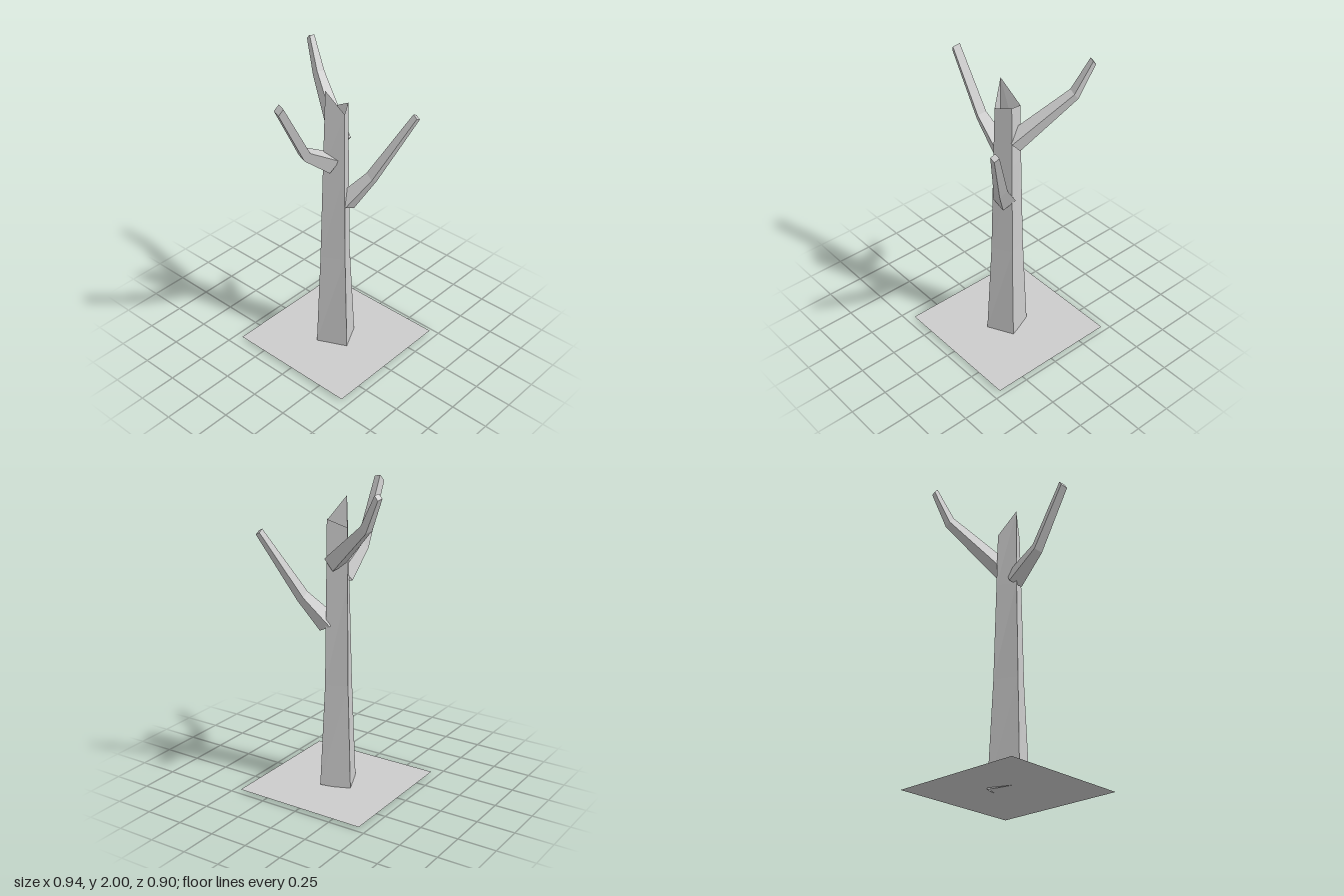
import * as THREE from 'three';

const V = (x, y, z) => new THREE.Vector3(x, y, z);

// Skins a list of four-cornered rings, optionally closing the last one
function loft(rings, capEnd) {
  const pos = [];
  const tri = (...pts) => pts.forEach((p) => pos.push(p.x, p.y, p.z));
  for (let r = 0; r < rings.length - 1; r++) {
    const a = rings[r], b = rings[r + 1];
    for (let i = 0; i < 4; i++) {
      const j = (i + 1) % 4;
      tri(a[i], a[j], b[j]);
      tri(a[i], b[j], b[i]);
    }
  }
  if (capEnd) {
    const e = rings[rings.length - 1];
    tri(e[0], e[1], e[2]);
    tri(e[0], e[2], e[3]);
  }
  const geo = new THREE.BufferGeometry();
  geo.setAttribute('position', new THREE.Float32BufferAttribute(pos, 3));
  geo.computeVertexNormals();
  return geo;
}

// Square-section limb: all rings lie across the direction of the first segment
function limb(stations, roll) {
  const centers = stations.map(([x, y, z]) => V(x, y, z));
  const n = centers[1].clone().sub(centers[0]).normalize();
  const up = V(0, 1, 0).addScaledVector(n, -n.y).normalize();
  const side = n.clone().cross(up);
  const rings = centers.map((c, k) => [0, 1, 2, 3].map((i) => {
    const t = roll + i * Math.PI / 2, r = stations[k][3];
    return c.clone().addScaledVector(up, r * Math.cos(t)).addScaledVector(side, r * Math.sin(t));
  }));
  return loft(rings, true);
}

export function createModel() {
  const group = new THREE.Group();
  const mat = new THREE.MeshStandardMaterial({ color: 0xcccccc, flatShading: true, side: THREE.DoubleSide });
  const add = (name, geo) => {
    const mesh = new THREE.Mesh(geo, mat);
    mesh.name = name;
    group.add(mesh);
    return mesh;
  };

  // Flat ground patch
  const ground = add('ground', new THREE.PlaneGeometry(0.895, 0.895).rotateX(-Math.PI / 2));
  ground.position.set(0.023, 0.012, 0);

  // Hollow tapering trunk with a jagged broken top
  const trunk = [
    [V(-0.025, 0.015, 0.137), V(0.145, 0.02, 0.053), V(0.07, 0, -0.13), V(-0.115, 0.015, -0.05)],
    [V(-0.012, 0.7, 0.105), V(0.11, 0.7, 0.036), V(0.055, 0.7, -0.1), V(-0.09, 0.7, -0.035)],
    [V(-0.006, 1.35, 0.09), V(0.1, 1.35, 0.031), V(0.045, 1.35, -0.088), V(-0.072, 1.35, -0.026)],
    [V(0, 1.74, 0.082), V(0.092, 1.762, 0.03), V(0.04, 1.715, -0.082), V(-0.06, 1.885, -0.015)],
  ];
  add('trunk', loft(trunk, false));

  // Bent branches: centre and radius at base, elbow and tip
  add('rightBranch', limb([[-0.03, 1.39, -0.005, 0.068], [-0.24, 1.537, -0.015, 0.042], [-0.455, 1.923, -0.002, 0.034]], 0.5));
  add('backBranch', limb([[0.065, 1.495, -0.005, 0.066], [0.23, 1.78, -0.335, 0.038], [0.27, 1.98, -0.437, 0.025]], -0.5));
  add('frontBranch', limb([[0.05, 1.09, 0.05, 0.07], [0.155, 1.275, 0.17, 0.043], [0.33, 1.69, 0.358, 0.026]], 0));

  return group;
}
